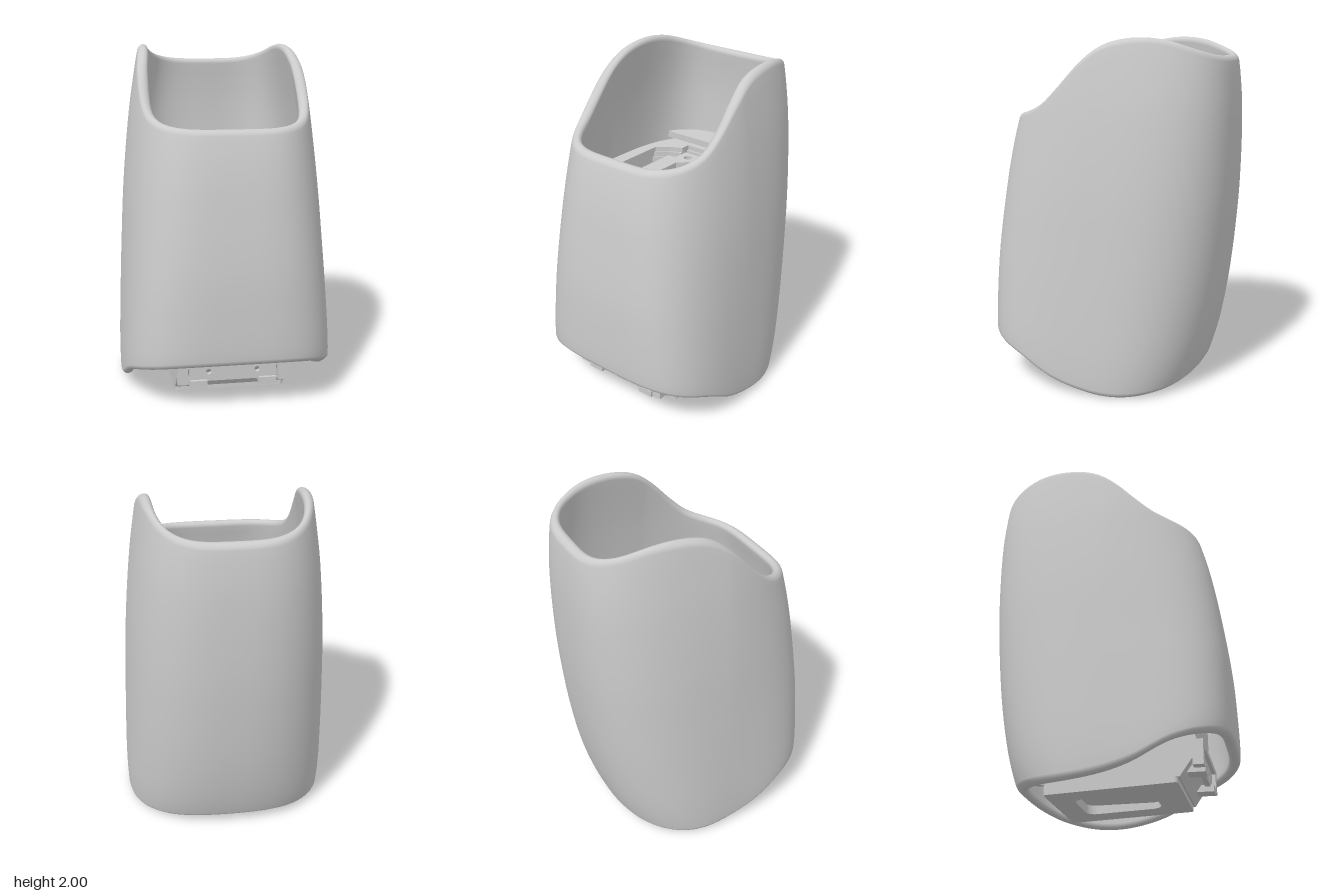
import * as THREE from 'three';

const grey = () => new THREE.MeshStandardMaterial({ color: 0xcccccc });

// Smooth interpolation through [key, value] pairs with ascending keys
function curve(pts) {
  const slope = (i) => {
    const a = pts[Math.max(i - 1, 0)], b = pts[Math.min(i + 1, pts.length - 1)];
    return (b[1] - a[1]) / (b[0] - a[0]);
  };
  return (k) => {
    const x = THREE.MathUtils.clamp(k, pts[0][0], pts[pts.length - 1][0]);
    let i = 0;
    while (i < pts.length - 2 && x > pts[i + 1][0]) i++;
    const h = pts[i + 1][0] - pts[i][0], t = (x - pts[i][0]) / h;
    const t2 = t * t, t3 = t2 * t;
    return (2 * t3 - 3 * t2 + 1) * pts[i][1] + (t3 - 2 * t2 + t) * h * slope(i)
      + (3 * t2 - 2 * t3) * pts[i + 1][1] + (t3 - t2) * h * slope(i + 1);
  };
}

// Shell outline by height, and the heights of its two wavy edges by depth
const halfWidth = curve([[0, 0.612], [0.2, 0.615], [0.5, 0.606], [0.8, 0.593], [1.2, 0.57], [1.6, 0.53], [1.85, 0.492], [2, 0.465]]);
const frontZ = curve([[0.2, 0.685], [0.3, 0.7], [0.5, 0.7], [0.8, 0.685], [1.2, 0.635], [1.4, 0.598], [1.55, 0.56], [2, 0.45]]);
const backZ = curve([[0, -0.49], [0.1, -0.535], [0.3, -0.592], [0.6, -0.645], [1, -0.685], [1.3, -0.698], [1.6, -0.697], [1.8, -0.682], [1.95, -0.66]]);
const topY = curve([[-0.53, 1.56], [-0.4, 1.595], [-0.3, 1.645], [-0.2, 1.74], [-0.1, 1.85], [0, 1.935], [0.1, 1.98], [0.25, 2], [0.4, 1.985], [0.55, 1.935], [0.66, 1.89]]);
const bottomY = curve([[-0.5, 0.06], [-0.4, 0.028], [-0.2, 0.005], [0, 0.02], [0.2, 0.075], [0.4, 0.18], [0.6, 0.25], [0.7, 0.29]]);

// Point on the rounded cross-section at a height, moved inwards by inset;
// towards the top the sides draw in to the front
function section(angle, y, inset) {
  const c = Math.cos(angle), s = Math.sin(angle), t = y / 2, mid = 0.03;
  const n = (s > 0 ? 3.7 + 0.5 * t * t : 2.6 + 0.5 * t * t) + 14 * inset * t;
  const r = Math.pow(Math.abs(c) ** n + Math.abs(s) ** n, -1 / n);
  const depth = s > 0 ? frontZ(y) - mid : mid - backZ(y);
  const z = r * s * (depth - inset);
  const taper = 1 - 0.3 * y ** 1.5 * Math.max(z, 0) ** 1.5;
  return [r * c * (halfWidth(y) * taper - inset), mid + z];
}

// Closed wall loop: up the outside, over the rim, down the inside, under the lower edge
function shellGeometry() {
  const around = 128, rows = 28, arc = 8, r = 0.033;
  const pos = [], index = [];
  let loop = 0;
  for (let i = 0; i < around; i++) {
    const a = (i / around) * Math.PI * 2;
    let hi = 1.8, lo = 0.1;
    for (let k = 0; k < 14; k++) {
      hi = topY(-section(a, hi, r)[1]);
      lo = bottomY(section(a, lo, r)[1]);
    }
    const ring = [], span = hi - lo - 2 * r;
    for (let j = 0; j < rows; j++) ring.push([lo + r + span * j / rows, 0]);
    for (let j = 0; j < arc; j++) {
      const q = Math.PI * j / arc;
      ring.push([hi - r + r * Math.sin(q), r - r * Math.cos(q)]);
    }
    for (let j = 0; j < rows; j++) ring.push([hi - r - span * j / rows, 2 * r]);
    for (let j = 0; j < arc; j++) {
      const q = Math.PI * j / arc;
      ring.push([lo + r - r * Math.sin(q), r + r * Math.cos(q)]);
    }
    loop = ring.length;
    for (const [y, inset] of ring) {
      const [x, z] = section(a, y, inset);
      pos.push(x, y, z);
    }
  }
  for (let i = 0; i < around; i++) for (let j = 0; j < loop; j++) {
    const i2 = (i + 1) % around, j2 = (j + 1) % loop;
    const a = i * loop + j, b = i2 * loop + j, c = i * loop + j2, d = i2 * loop + j2;
    index.push(a, c, b, b, c, d);
  }
  const g = new THREE.BufferGeometry();
  g.setAttribute('position', new THREE.Float32BufferAttribute(pos, 3));
  g.setIndex(index);
  g.computeVertexNormals();
  return g;
}

const polygon = (pts) => new THREE.Shape(pts.map(([x, y]) => new THREE.Vector2(x, y)));

// Polygon symmetric in x from the points of its +x half
const mirrored = (half) => polygon(half.concat(half.map(([x, z]) => [-x, z]).reverse()));

function roundedRect(x0, y0, x1, y1, r, Type = THREE.Shape) {
  const p = new Type();
  p.absarc(x1 - r, y0 + r, r, -Math.PI / 2, 0);
  p.absarc(x1 - r, y1 - r, r, 0, Math.PI / 2);
  p.absarc(x0 + r, y1 - r, r, Math.PI / 2, Math.PI);
  p.absarc(x0 + r, y0 + r, r, Math.PI, Math.PI * 1.5);
  p.closePath();
  return p;
}

const circle = (x, y, r) => new THREE.Path().absarc(x, y, r, 0, Math.PI * 2);
const extrude = (shape, depth) => new THREE.ExtrudeGeometry(shape, { depth, bevelEnabled: false, curveSegments: 8 });

// Horizontal plate from a shape drawn in x and z
const slab = (shape, top, height) => extrude(shape, height).rotateX(Math.PI / 2).translate(0, top, 0);

// Points along the middle of the shell wall between two angles
const wallPoints = (y, from, to) => Array.from({ length: 65 }, (_, k) => section(from + (to - from) * k / 64, y, 0.04));

export function createModel() {
  const model = new THREE.Group();
  const add = (name, geometry) => {
    const m = new THREE.Mesh(geometry, grey());
    m.name = name;
    model.add(m);
  };

  add('shell', shellGeometry());

  // Inner core with a sloped lower front
  const core = polygon([[-0.33, 0.06], [0.41, 0.06], [0.51, 0.2], [0.51, 0.25], [0.5, 0.28], [0.5, 1.18], [-0.33, 1.18]]);
  add('core', extrude(core, 0.64).rotateY(-Math.PI / 2).translate(0.32, 0, 0));

  // Slightly tilted base plate with a rounded pocket
  const base = roundedRect(-0.32, -0.33, 0.32, 0.4, 0.02);
  base.holes.push(roundedRect(-0.17, -0.2, 0.17, 0.24, 0.06, THREE.Path));
  add('basePlate', slab(base, 0.075, 0.06).rotateX(-0.04));

  // Screw lugs behind the foot of the core
  for (const x of [-0.2, 0.2]) {
    const lug = roundedRect(x - 0.05, -0.42, x + 0.05, -0.32, 0.03);
    lug.holes.push(circle(x, -0.375, 0.024));
    add('screwLug', slab(lug, 0.16, 0.06));
  }

  // Tray frame on the core with a sunken middle and screw holes
  const frame = mirrored([[0.27, -0.43], [0.27, -0.325], [0.325, -0.325], [0.325, 0.385], [0.27, 0.385], [0.27, 0.5]]);
  frame.holes.push(mirrored([[0.15, -0.32], [0.21, -0.26], [0.21, 0.15], [0.235, 0.2], [0.235, 0.34], [0.15, 0.47]]));
  for (const x of [-0.2, 0.2]) for (const z of [-0.37, 0.455]) frame.holes.push(circle(x, z, 0.027));
  add('trayFrame', slab(frame, 1.23, 0.05));
  add('trayClip', new THREE.BoxGeometry(0.17, 0.04, 0.04).translate(0, 1.24, -0.4));

  // Straight shelf across the back
  add('backShelf', slab(polygon([[-0.45, -0.46], ...wallPoints(1.3, Math.PI + 0.68, Math.PI * 2 - 0.68), [0.45, -0.46]]), 1.33, 0.04));

  // Stepped ledge around the inside of the shell
  for (let k = 0; k < 3; k++) {
    const s = 0.015 * k;
    const ledge = polygon(wallPoints(1.24, 0, Math.PI * 2).slice(0, -1));
    ledge.holes.push(mirrored([[0.27, -0.43 - s], [0.27, -0.37 - s], [0.34, -0.335 - s], [0.415, -0.27 - s], [0.415, 0.32], [0.27, 0.385], [0.27, 0.485]]));
    add('innerLedge', slab(ledge, 1.21 + 0.03 * k, 0.03));
  }

  // Front connector: plate with two holes, surround and feet
  const plate = roundedRect(-0.25, 0.13, 0.25, 0.23, 0.02);
  for (const x of [-0.14, 0.14]) plate.holes.push(circle(x, 0.185, 0.016));
  add('connectorPlate', extrude(plate, 0.03).translate(0, 0, 0.49));
  for (const s of [-1, 1]) {
    add('connectorFoot', new THREE.BoxGeometry(0.1, 0.04, 0.1).translate(s * 0.2, 0.12, 0.49));
    add('connectorSide', new THREE.BoxGeometry(0.06, 0.13, 0.06).translate(s * 0.29, 0.185, 0.51));
  }
  add('connectorTop', new THREE.BoxGeometry(0.64, 0.03, 0.06).translate(0, 0.245, 0.51));
  return model;
}
